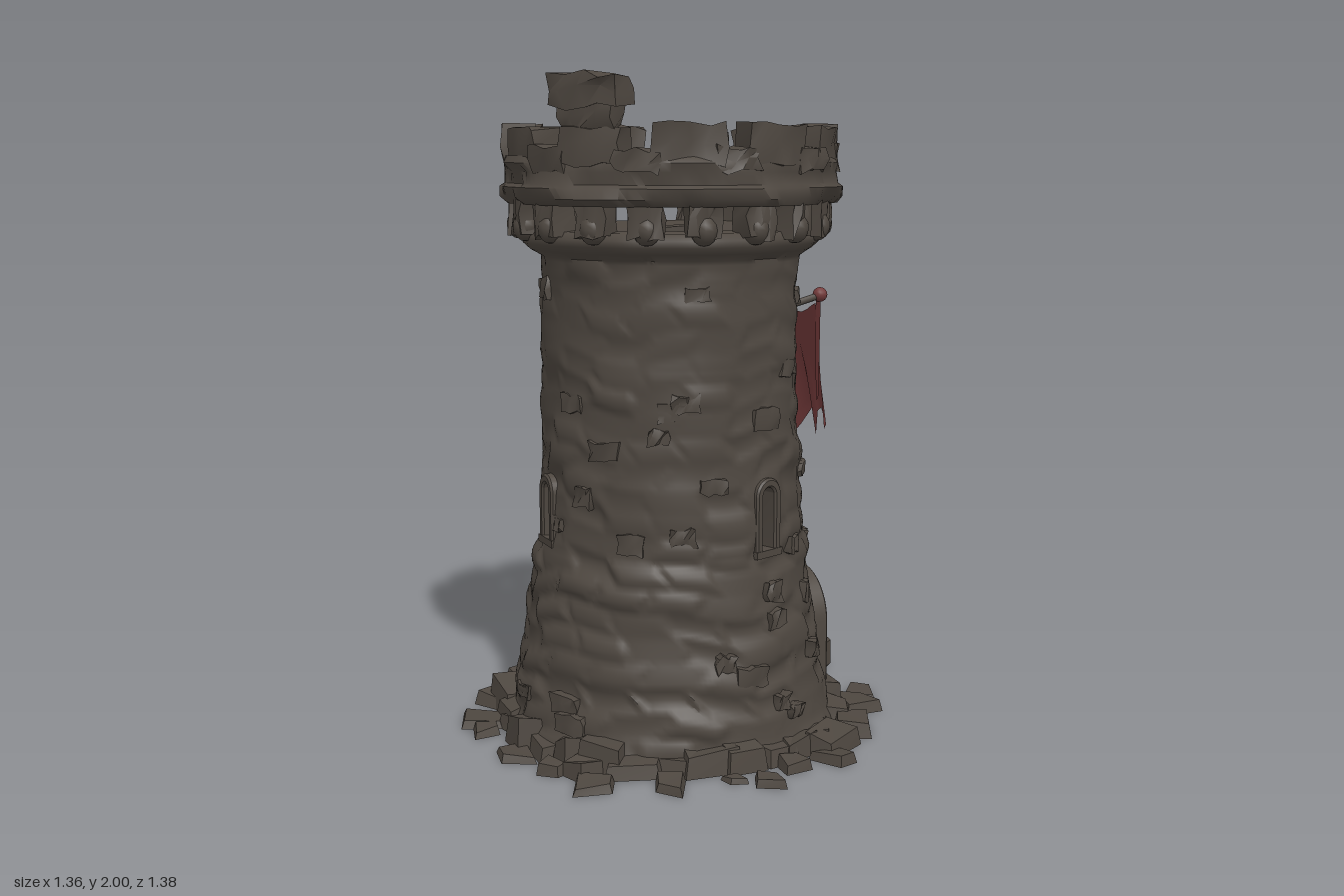
import * as THREE from 'three';
import { mergeVertices, mergeGeometries, toCreasedNormals } from 'three/addons/utils/BufferGeometryUtils.js';

const TAU = Math.PI * 2;
const hash = (a, b = 0, c = 0) => {
  const s = Math.sin(a * 127.1 + b * 311.7 + c * 74.7) * 43758.5453;
  return s - Math.floor(s);
};
const V2 = (x, y) => new THREE.Vector2(x, y);

export function createModel() {
  const stone = new THREE.MeshStandardMaterial({ color: 0x4e4740 });
  stone.name = 'stone';
  const cloth = new THREE.MeshStandardMaterial({ color: 0x733a3a, side: THREE.DoubleSide });
  cloth.name = 'bannerRed';

  const root = new THREE.Group();
  root.name = 'ruinedTower';
  const tower = new THREE.Group();
  tower.name = 'tower';
  tower.position.x = -0.03;
  root.add(tower);
  const add = (parent, name, geo, mat = stone) => {
    const m = new THREE.Mesh(geo, mat);
    m.name = name;
    parent.add(m);
    return m;
  };

  // Openings: azimuth from +z towards +x, sill height, half width, height
  const windows = [
    [0.35, 0.61, 0.035, 0.2], [Math.PI / 2, 0.73, 0.04, 0.09], [2.76, 0.6, 0.037, 0.2],
    [3.46, 0.6, 0.037, 0.2], [4.71, 0.62, 0.035, 0.18],
  ];
  const carves = windows.map(([a, y, w, h]) => [a, y, w, h, 0.36]);
  carves.push([Math.PI / 2, -0.01, 0.15, 0.43, 0.455], [Math.PI / 2, -0.01, 0.1, 0.38, 0.4]);
  const inArch = (u, v, w, h) => Math.abs(u) < w && v > 0 && (v < h - w || Math.hypot(u, v - h + w) < w);
  const angDiff = (a, b) => Math.atan2(Math.sin(a - b), Math.cos(a - b));

  // Revolved profile whose radius is then reshaped by a rule
  const ruggedLathe = (pts, segs, rule, crease) => {
    let g = new THREE.LatheGeometry(pts, segs);
    g.deleteAttribute('uv');
    g.deleteAttribute('normal');
    g = mergeVertices(g, 1e-4);
    const p = g.attributes.position;
    for (let i = 0; i < p.count; i++) {
      const r = Math.hypot(p.getX(i), p.getZ(i));
      if (r < 0.05) continue;
      const a = (Math.atan2(p.getX(i), p.getZ(i)) + TAU) % TAU;
      const q = rule(r, a, p.getY(i));
      p.setX(i, Math.sin(a) * q);
      p.setZ(i, Math.cos(a) * q);
    }
    return toCreasedNormals(g, crease);
  };

  // Uneven, worn courses of masonry that fade softly into each other
  const masonry = (a, y, course, n, amp) => {
    const wy = (y + 0.02 * Math.sin(a * 3 + y * 3) + 0.01 * Math.sin(a * 7 + 1)) / course;
    const row = Math.floor(wy);
    const t = ((a / TAU) * n + hash(row, 3) + 0.15 * Math.sin(wy * 2.5) + n) % n;
    const k = Math.floor(t);
    const joint = Math.min(wy - row, 1 - (wy - row), 2.5 * (t - k), 2.5 * (1 - t + k));
    return (hash(row, k, 1) - 0.5) * amp * THREE.MathUtils.smoothstep(joint, -0.1, 0.4);
  };

  // Tapered wall
  const key = [[0, 0.51], [0.06, 0.495], [0.2, 0.474], [0.4, 0.441], [0.55, 0.424], [0.6, 0.41],
    [0.8, 0.403], [1, 0.394], [1.4, 0.388], [1.47, 0.395]];
  const wallR = (y) => {
    let i = 1;
    while (i < key.length - 1 && y > key[i][0]) i++;
    const [y0, r0] = key[i - 1], [y1, r1] = key[i];
    return r0 + ((r1 - r0) * (y - y0)) / (y1 - y0);
  };
  const wall = [V2(0, 0)];
  for (let i = 0; i <= 120; i++) wall.push(V2(wallR((i / 120) * 1.47), (i / 120) * 1.47));
  wall.push(V2(0.43, 1.49), V2(0.452, 1.51), V2(0.455, 1.53), V2(0.44, 1.55), V2(0.38, 1.555), V2(0, 1.53));
  add(tower, 'towerWall', ruggedLathe(wall, 220, (r, a, y) => {
    if (y > 1.475) return r + 0.006 * Math.sin(a * 9) * Math.sin(a * 4);
    let q = r + masonry(a, y, 0.075, 17, y < 0.6 ? 0.032 : y < 1.15 ? 0.022 : 0.013);
    q += 0.006 * Math.sin(a * 5 + y * 9) * Math.sin(y * 13 - a * 2);
    for (const [wa, wy, w, h, d] of carves) {
      const da = angDiff(a, wa);
      if (Math.abs(da) < 1 && inArch(r * Math.sin(da), y - wy, w, h)) q = Math.min(q, d / Math.cos(da));
    }
    return q;
  }, 1.0));

  // Curved block: a box bent around the tower axis with worn corners
  const arcBlock = (r0, r1, ac, aw, y0, y1, seed, wear = 0.015) => {
    const g = new THREE.BoxGeometry(1, 1, 1, 4, 2, 1);
    const p = g.attributes.position;
    for (let i = 0; i < p.count; i++) {
      const x = p.getX(i), y = p.getY(i), z = p.getZ(i);
      const j = (k) => (hash(x * 4 + seed, y * 5 + k, z * 3 + seed) - 0.5) * wear;
      const r = r0 + (z + 0.5) * (r1 - r0) + j(1);
      const a = ac + x * aw + j(2) * 2;
      p.setXYZ(i, Math.sin(a) * r, y0 + (y + 0.5) * (y1 - y0) + j(3), Math.cos(a) * r);
    }
    return toCreasedNormals(g, 0.8);
  };

  // Stones standing proud of the wall
  const proud = [];
  for (let i = 0; i < 55; i++) {
    const a = hash(i, 1) * TAU, y = 0.08 + Math.pow(hash(i, 2), 1.3) * 1.3, w = 0.1 + hash(i, 3) * 0.16;
    if (carves.some((c) => Math.abs(angDiff(a, c[0])) < w / 2 + c[2] * 2.8 && y > c[1] - 0.08 && y < c[1] + c[3] + 0.04)) continue;
    const r = wallR(y);
    proud.push(arcBlock(r - 0.04, r + 0.006 + hash(i, 4) * (y < 0.6 ? 0.012 : 0.005), a, w, y, y + 0.04 + hash(i, 5) * 0.025, i));
  }
  add(tower, 'proudStones', mergeGeometries(proud));

  // Corbels with rounded feet under the parapet
  const corbels = [];
  for (let i = 0; i < 18; i++) {
    const a = ((i + 0.35) / 18) * TAU;
    corbels.push(arcBlock(0.395, 0.485, a, 0.18 + hash(i, 30) * 0.03, 1.535, 1.65, i + 200, 0.02));
    const foot = new THREE.SphereGeometry(0.04, 10, 8).toNonIndexed();
    foot.scale(1, 1.1, 1).translate(Math.sin(a) * 0.457, 1.56, Math.cos(a) * 0.457);
    corbels.push(foot);
  }
  add(tower, 'corbels', mergeGeometries(corbels));

  // Parapet ring
  const ring = [[0.39, 1.63], [0.49, 1.625], [0.512, 1.645], [0.514, 1.675], [0.5, 1.685], [0.498, 1.72],
    [0.503, 1.745], [0.49, 1.765], [0.405, 1.765], [0.39, 1.7], [0.39, 1.63]].map(([r, y]) => V2(r, y));
  add(tower, 'parapetRing', ruggedLathe(ring, 132, (r, a, y) =>
    r + (r > 0.45 ? masonry(a, y, 0.06, 15, 0.026) : 0) + 0.005 * Math.sin(a * 6 + y * 20), 0.9));

  // Merlons and the low worn stones between them; two gaps are fully open
  const merlons = [];
  for (let i = 0; i < 11; i++) {
    const a = -0.9 + (i / 11) * TAU;
    merlons.push(arcBlock(0.402, 0.505, a, 0.37 + hash(i, 8) * 0.07, 1.74, 1.84 + hash(i, 9) * 0.025, i + 40, 0.02));
    if (i !== 4 && i !== 9) merlons.push(arcBlock(0.41, 0.51, a + 0.28, 0.25, 1.72, 1.775 + hash(i, 10) * 0.03, i + 60, 0.02));
  }
  // Broken taller remnant
  merlons.push(arcBlock(0.41, 0.5, -0.93, 0.34, 1.84, 1.92, 81, 0.025));
  merlons.push(arcBlock(0.4, 0.515, -0.93, 0.46, 1.9, 1.988, 82, 0.028));
  add(tower, 'merlons', mergeGeometries(merlons));

  // Arched surrounds
  const surround = (W, H, w, h, depth) => {
    const s = new THREE.Shape();
    s.moveTo(-W, 0).lineTo(-W, H - W);
    s.absarc(0, H - W, W, Math.PI, 0, true);
    s.lineTo(W, 0).lineTo(w, 0).lineTo(w, h - w);
    s.absarc(0, h - w, w, 0, Math.PI, false);
    s.lineTo(-w, 0);
    return new THREE.ExtrudeGeometry(s, { depth, bevelEnabled: true, bevelSize: 0.006, bevelThickness: 0.006, bevelSegments: 1, curveSegments: 10 });
  };
  const place = (name, geo, a, y, r) => {
    const m = add(tower, name, toCreasedNormals(geo, 0.6));
    m.rotation.y = a;
    m.position.set(Math.sin(a) * r, y, Math.cos(a) * r);
  };
  place('doorSurround', surround(0.155, 0.435, 0.1, 0.37, 0.1), Math.PI / 2, 0.006, 0.378);
  for (const [a, y, w, h] of windows) {
    place('windowSurround', surround(w + 0.012, h + 0.012, w - 0.004, h - 0.004, 0.05), a, y, 0.36);
    place('windowSill', new THREE.BoxGeometry(2 * w + 0.04, 0.022, 0.06), a, y - 0.008, 0.388);
  }

  // Rubble slabs: x, z, size, height
  const slab = (x, z, size, h, seed) => {
    const g = new THREE.BoxGeometry(size, h, size * (0.75 + hash(seed, 5) * 0.35));
    const p = g.attributes.position;
    for (let i = 0; i < p.count; i++) {
      const sx = Math.sign(p.getX(i)), sy = Math.sign(p.getY(i)), sz = Math.sign(p.getZ(i));
      const k = (n) => hash(seed + sx * 2, sz * 3 + n, seed) - 0.5;
      const shrink = sy > 0 ? 0.85 : 1;
      p.setXYZ(i, p.getX(i) * shrink + k(1) * size * 0.4, sy < 0 ? 0 : h * (0.8 + k(2) * 0.4), p.getZ(i) * shrink + k(3) * size * 0.4);
    }
    g.rotateY(Math.atan2(x, z) + (hash(seed, 9) - 0.5) * 0.8).translate(x, 0, z);
    return toCreasedNormals(g, 0.3);
  };
  const rubble = [
    [-0.33, -0.57, 0.09, 0.03], [-0.12, -0.59, 0.1, 0.05], [0.07, -0.64, 0.1, 0.03], [0.16, -0.53, 0.13, 0.06],
    [0.35, -0.49, 0.1, 0.04], [-0.48, -0.35, 0.15, 0.05], [-0.31, -0.46, 0.13, 0.07], [-0.59, -0.19, 0.11, 0.03],
    [-0.61, -0.09, 0.1, 0.03], [-0.61, 0.14, 0.11, 0.03], [-0.55, 0.3, 0.07, 0.04], [-0.49, 0.36, 0.1, 0.06],
    [-0.5, 0.45, 0.11, 0.03], [-0.29, 0.55, 0.1, 0.04], [-0.1, 0.585, 0.06, 0.02], [-0.02, 0.64, 0.08, 0.03],
    [0.1, 0.57, 0.09, 0.04], [0.25, 0.57, 0.1, 0.04], [0.29, 0.49, 0.14, 0.07], [0.43, 0.37, 0.14, 0.06],
    [0.54, 0.19, 0.12, 0.04], [0.61, 0.1, 0.11, 0.03], [0.54, -0.04, 0.07, 0.04],
  ].map(([x, z, s, h], i) => slab(x, z, s, h, i + 1));
  for (let i = 0; i < 30; i++) {
    const a = (i / 30) * TAU, r = 0.47 + hash(i, 20) * 0.03;
    if (Math.abs(a - Math.PI / 2) < 0.3) continue;
    rubble.push(slab(Math.sin(a) * r - 0.03, Math.cos(a) * r, 0.1 + hash(i, 21) * 0.05, 0.05 + hash(i, 22) * 0.08, i + 90));
  }
  add(root, 'rubble', mergeGeometries(rubble));

  // Largest fallen block
  const block = new THREE.Shape([V2(0.51, 0.38), V2(0.455, 0.27), V2(0.6, 0.145), V2(0.68, 0.2), V2(0.625, 0.385)]);
  const blockGeo = new THREE.ExtrudeGeometry(block, { depth: 0.085, bevelSize: 0.008, bevelThickness: 0.01, bevelSegments: 1, bevelOffset: -0.008 });
  add(root, 'fallenBlock', blockGeo.rotateX(-Math.PI / 2).translate(0, 0.01, 0));

  // Fallen pointed piece and ball on the roof floor
  const point = new THREE.Shape([V2(-0.07, -0.04), V2(0.06, -0.045), V2(0.13, -0.02), V2(0.06, 0.04), V2(-0.07, 0.025)]);
  const fallen = new THREE.ExtrudeGeometry(point, { depth: 0.03, bevelEnabled: false });
  add(root, 'fallenPoint', fallen.rotateX(-Math.PI / 2).rotateZ(0.06).translate(0, 1.525, 0));
  add(root, 'fallenBall', new THREE.SphereGeometry(0.032, 14, 10).translate(-0.105, 1.545, 0.01));

  // Banner poles and finials
  const pole = (from, to, r) => add(root, 'bannerPole', new THREE.TubeGeometry(new THREE.LineCurve3(from, to), 1, r, 8));
  pole(new THREE.Vector3(0.3, 1.3, 0.12), new THREE.Vector3(0.43, 1.335, 0.125), 0.011);
  pole(new THREE.Vector3(0.2, 1.3, -0.25), new THREE.Vector3(0.435, 1.32, -0.265), 0.011);
  add(root, 'redFinial', new THREE.SphereGeometry(0.023, 12, 8).translate(0.428, 1.337, 0.125), cloth);
  add(root, 'stoneFinial', new THREE.SphereGeometry(0.018, 12, 8).translate(0.435, 1.32, -0.265));

  // Torn banner: columns from front edge to back edge as [z top, y top, z bottom, y bottom]
  const edge = [[0.115, 1.31, 0.075, 0.9], [0.09, 1.3, 0.055, 0.91], [0.06, 1.285, 0.025, 0.96], [0.03, 1.275, 0.01, 0.95],
    [0, 1.275, -0.015, 0.865], [-0.04, 1.275, -0.03, 0.965], [-0.1, 1.283, -0.09, 0.89], [-0.17, 1.29, -0.16, 0.82],
    [-0.225, 1.3, -0.225, 0.77], [-0.265, 1.315, -0.275, 0.715]];
  const banner = new THREE.PlaneGeometry(1, 1, edge.length - 1, 10);
  const bp = banner.attributes.position;
  for (let i = 0; i < bp.count; i++) {
    const c = i % edge.length, t = Math.floor(i / edge.length) / 10;
    const [z0, y0, z1, y1] = edge[c];
    const pinch = c > 6 ? 0.03 * Math.sin(Math.PI * t) : 0;
    const s = c / (edge.length - 1);
    const belly = 1 - ((s - 0.3) / 0.7) ** 2;
    const x = 0.418 + 0.025 * t * s + 0.075 * t * belly + 0.008 * Math.sin(c * 1.6) * t;
    bp.setXYZ(i, x, y0 + (y1 - y0) * t, z0 + (z1 - z0) * t + pinch);
  }
  banner.computeVertexNormals();
  add(root, 'banner', banner, cloth);

  // Loose strip hanging from the near pole
  const strip = new THREE.Shape([V2(-0.135, 1.32), V2(-0.13, 1.02), V2(-0.118, 1.0), V2(-0.108, 1.1), V2(-0.105, 1.32)]);
  add(root, 'bannerStrip', new THREE.ShapeGeometry(strip).rotateY(Math.PI / 2).translate(0.425, 0, 0), cloth);
  return root;
}
